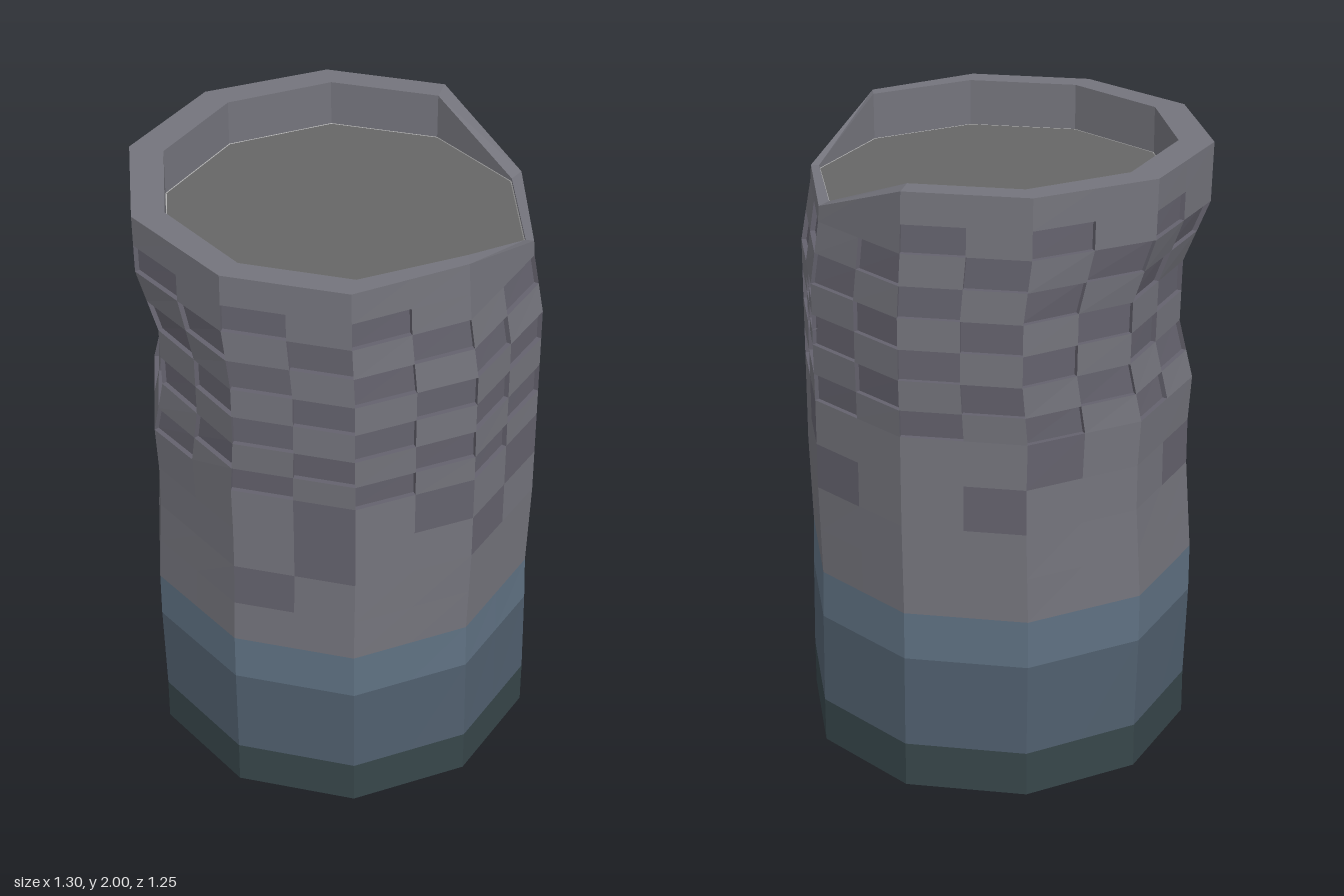
import * as THREE from 'three';

const SIDES = 10, CX = 0.02, INNER = 0.565, FLOOR = 1.85, DEPTH = 0.016;
const COLORS = { stone: 0x74747c, brick: 0x64626d, blue: 0x5f7182, slate: 0x505f6e, base: 0x37464a, under: 0x666666, shaft: 0xcccccc };

// wall profile: height, -x radius, +x radius, z radius
const PROFILE = [
  [0, 0.63, 0.63, 0.64], [0.15, 0.63, 0.63, 0.64], [0.46, 0.64, 0.625, 0.64], [0.62, 0.64, 0.62, 0.64],
  [0.77, 0.63, 0.625, 0.64], [0.92, 0.62, 0.63, 0.64], [1.07, 0.62, 0.63, 0.64], [1.22, 0.63, 0.63, 0.64],
  [1.41, 0.585, 0.63, 0.655], [1.61, 0.59, 0.63, 0.655], [1.81, 0.67, 0.595, 0.65], [2, 0.675, 0.58, 0.645],
];

const wrap = (k) => ((k % SIDES) + SIDES) % SIDES;
// two neighbouring corners of the rim are broken down
const rim = (k) => (wrap(k) === 0 || wrap(k) === 9 ? 1.86 : 2);

function corner(k, y) {
  let i = 0;
  while (i < PROFILE.length - 2 && y > PROFILE[i + 1][0]) i++;
  const a = PROFILE[i], b = PROFILE[i + 1], t = (y - a[0]) / (b[0] - a[0]);
  const r = (j) => a[j] + (b[j] - a[j]) * t;
  const ang = (wrap(k) / SIDES) * Math.PI * 2, c = Math.cos(ang);
  return new THREE.Vector3(CX + c * (c > 0 ? r(2) : r(1)), y, Math.sin(ang) * r(3));
}

function innerCorner(k, y, radius = INNER) {
  const ang = (wrap(k) / SIDES) * Math.PI * 2;
  return new THREE.Vector3(CX + Math.cos(ang) * radius, y, Math.sin(ang) * radius);
}

// point on the wall; u counts half faces, y may be the string 'rim'
function wall(u, y) {
  const k = Math.floor(u / 2), t = u / 2 - k;
  const at = (j) => corner(j, y === 'rim' ? rim(j) : y);
  return at(k).lerp(at(k + 1), t);
}

export function createModel() {
  const group = new THREE.Group();
  const parts = {};
  const quad = (part, a, b, c, d) => {
    const list = (parts[part] ??= []);
    for (const p of [a, b, c, a, c, d]) list.push(p.x, p.y, p.z);
  };
  const cell = (part, u0, u1, y0, y1) =>
    quad(part, wall(u1, y0), wall(u0, y0), wall(u0, y1), wall(u1, y1));

  // recessed brick: sunken face with four reveals
  const recess = (u0, u1, y0, y1) => {
    const ang = ((Math.floor(u0 / 2) + 0.5) / SIDES) * Math.PI * 2;
    const inward = new THREE.Vector3(-Math.cos(ang), 0, -Math.sin(ang)).multiplyScalar(DEPTH);
    const o = [wall(u1, y0), wall(u0, y0), wall(u0, y1), wall(u1, y1)];
    const s = o.map((p) => p.clone().add(inward));
    quad('bricks', ...s);
    for (let i = 0; i < 4; i++) {
      const j = (i + 1) % 4;
      quad('bricks', o[i], o[j], s[j], s[i]);
    }
  };

  // smooth lower courses, with a few darker stones (half face index, course)
  const courses = [0, 0.15, 0.46, 0.62, 0.77, 0.92, 1.07, 1.22];
  const bands = ['footBand', 'slateBand', 'blueBand'];
  const dark = new Set(['4,5', '4,6', '5,4', '2,6', '1,5', '18,6', '17,5', '9,6', '8,5', '10,5', '13,6', '14,5', '0,6']);
  for (let u = 0; u < SIDES * 2; u++)
    for (let r = 0; r < 7; r++)
      cell(bands[r] ?? (dark.has(`${u},${r}`) ? 'bricks' : 'wall'), u, u + 1, courses[r], courses[r + 1]);

  // chequered brick courses
  const rows = [1.22, 1.31, 1.41, 1.51, 1.61, 1.71, 1.81, 1.9];
  for (let u = 0; u < SIDES * 2; u++) {
    const broken = [0, 8, 9].includes(Math.floor(u / 2));
    for (let r = 0; r < (broken ? 6 : 7); r++) {
      const y0 = rows[r], y1 = rows[r + 1];
      if (u === 18 && (r === 2 || r === 3)) {
        // patch of small bricks
        const ym = (y0 + y1) / 2;
        for (const i of [0, 1]) for (const j of [0, 1]) {
          const put = (i + j) % 2 ? recess : (...a) => cell('wall', ...a);
          put(u + i / 2, u + i / 2 + 0.5, j ? ym : y0, j ? y1 : ym);
        }
      } else if ((u + r) % 2) recess(u, u + 1, y0, y1);
      else cell('wall', u, u + 1, y0, y1);
    }
    cell('wall', u, u + 1, broken ? 1.81 : 1.9, 'rim');
  }

  // rim, inner wall, hollow shaft, underside and sunken floor
  for (let k = 0; k < SIDES; k++) {
    const n = k + 1;
    const i0 = innerCorner(k, rim(k)), i1 = innerCorner(n, rim(n));
    const f0 = innerCorner(k, FLOOR), f1 = innerCorner(n, FLOOR);
    const b0 = innerCorner(k, 0), b1 = innerCorner(n, 0);
    quad('rim', corner(n, rim(n)), corner(k, rim(k)), i0, i1);
    quad('rim', f0, f1, i1, i0);
    quad('shaft', b0, b1, f1, f0);
    quad('underside', b1, b0, corner(k, 0), corner(n, 0));
  }

  const colorOf = {
    wall: COLORS.stone, rim: COLORS.stone, bricks: COLORS.brick, footBand: COLORS.base, slateBand: COLORS.slate,
    blueBand: COLORS.blue, shaft: COLORS.shaft, underside: COLORS.under,
  };
  for (const [name, list] of Object.entries(parts)) {
    const geo = new THREE.BufferGeometry();
    geo.setAttribute('position', new THREE.Float32BufferAttribute(list, 3));
    geo.computeVertexNormals();
    const mesh = new THREE.Mesh(geo, new THREE.MeshStandardMaterial({ color: colorOf[name], flatShading: true }));
    mesh.name = name;
    group.add(mesh);
  }

  const floor = new THREE.Mesh(
    new THREE.CircleGeometry(INNER - 0.004, SIDES),
    new THREE.MeshStandardMaterial({ color: COLORS.under, side: THREE.DoubleSide }),
  );
  floor.rotation.x = -Math.PI / 2;
  floor.position.set(CX, FLOOR, 0);
  floor.name = 'floor';
  group.add(floor);
  return group;
}
